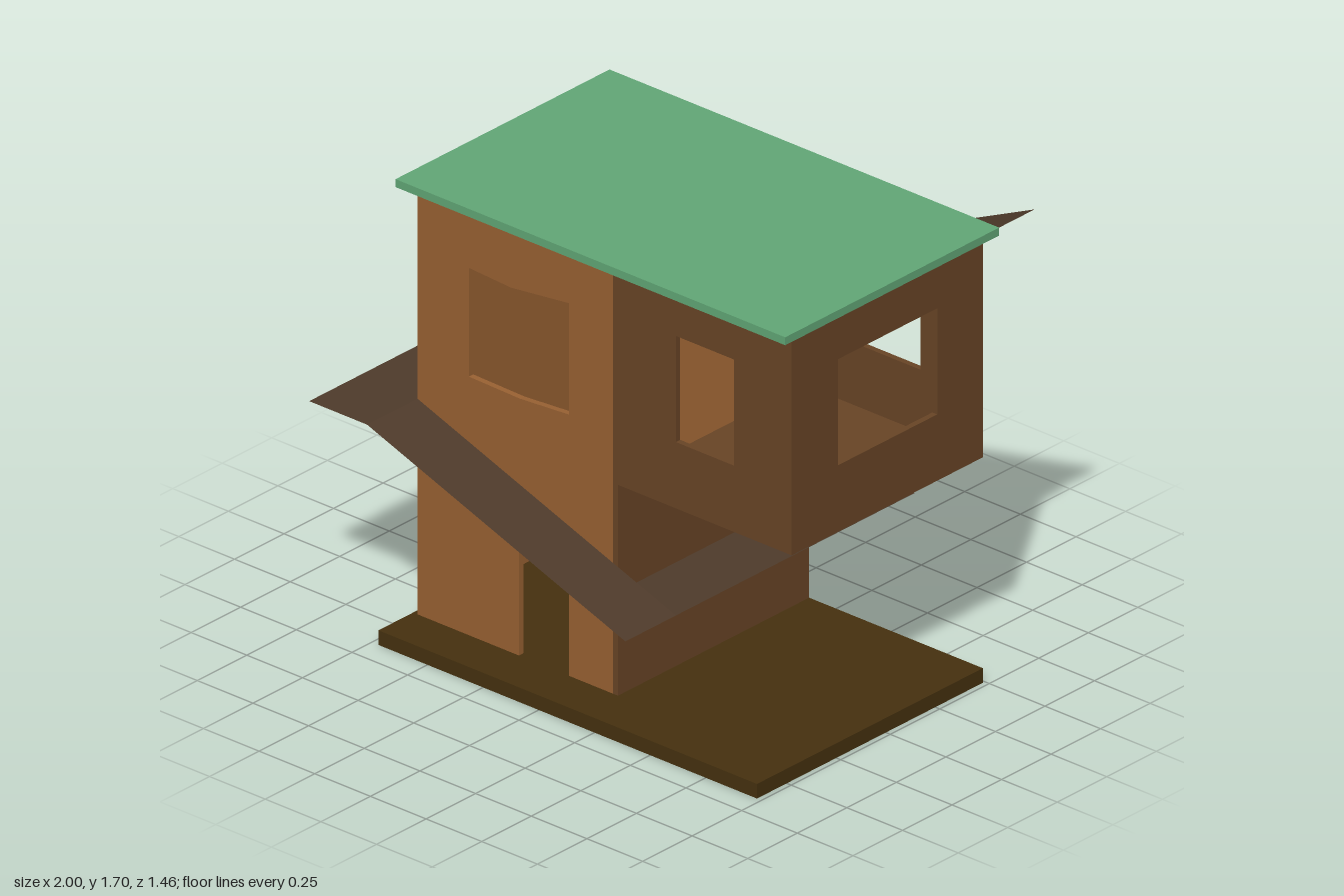
import * as THREE from 'three';

const paint = (color) => new THREE.MeshStandardMaterial({ color, flatShading: true, side: THREE.DoubleSide });

export function createModel() {
  const group = new THREE.Group();
  const orange = paint(0x9a6233), brown = paint(0x694526), deck = paint(0x4f3b2b);
  const olive = paint(0x46310f), green = paint(0x62a877);
  const T = 0.022; // wall thickness

  const add = (name, geometry, material) => {
    const mesh = new THREE.Mesh(geometry, material);
    mesh.name = name;
    group.add(mesh);
    return mesh;
  };

  // Box given by its minimum and maximum corners
  const box = (name, material, [x0, y0, z0], [x1, y1, z1]) =>
    add(name, new THREE.BoxGeometry(x1 - x0, y1 - y0, z1 - z0), material)
      .position.set((x0 + x1) / 2, (y0 + y1) / 2, (z0 + z1) / 2);

  const outline = (points) => points.map(([x, y]) => new THREE.Vector2(x, y));
  const rect = (x0, y0, x1, y1) => [[x0, y0], [x1, y0], [x1, y1], [x0, y1]];

  // Upright wall panel with openings, drawn in x-y and extruded along z
  const panel = (points, holes = []) => {
    const shape = new THREE.Shape(outline(points));
    holes.forEach((h) => shape.holes.push(new THREE.Path(outline(h))));
    return new THREE.ExtrudeGeometry(shape, { depth: T, bevelEnabled: false });
  };

  // Thin walkway following x-y points, spanning z0 to z1
  const walkway = (name, points, z0, z1) => {
    const pos = [];
    for (let i = 0; i < points.length - 1; i++) {
      const [a, b] = [points[i], points[i + 1]];
      pos.push(...a, z0, ...a, z1, ...b, z1, ...a, z0, ...b, z1, ...b, z0);
    }
    const geometry = new THREE.BufferGeometry();
    geometry.setAttribute('position', new THREE.Float32BufferAttribute(pos, 3));
    geometry.computeVertexNormals();
    add(name, geometry, deck);
  };

  const front = 0.475, back = -0.49, floor = 0.055, top = 1.67, upper = 0.85;

  // Base slab and flat roof
  box('base', olive, [-0.72, 0, back], [0.98, floor, 0.65]);
  box('roof', green, [-0.75, top, -0.55], [1, 1.7, 0.53]);

  // Tower front wall with a doorway notch and a slightly crooked window
  add('towerFrontWall', panel(
    [[-0.68, floor], [-0.245, floor], [-0.245, 0.465], [-0.02, 0.43], [-0.02, floor],
      [0.178, floor], [0.178, top], [-0.68, top]],
    [[[-0.47, 1.03], [-0.24, 1.025], [-0.02, 1.04], [-0.02, 1.46], [-0.28, 1.43], [-0.47, 1.44]]],
  ), orange).position.z = front - T;

  // Remaining tower walls; the upper storey is open to the side room
  box('towerBackWall', orange, [-0.68, floor, back], [0.178, top, back + T]);
  box('towerLeftWall', orange, [-0.7, floor, back], [-0.68, top, front]);
  box('towerSideWall', brown, [0.178, floor, back], [0.2, upper, front]);

  // Overhanging side room with windows on three sides
  const roomWall = panel(rect(0.178, upper, 0.98, top), [rect(0.46, 1.1, 0.72, 1.5)]);
  add('roomFrontWall', roomWall, brown).position.z = front - T;
  add('roomBackWall', roomWall, brown).position.z = back;
  const sideWall = add('roomSideWall',
    panel(rect(-front + T, upper, -back - T, top), [rect(-0.24, 1.1, 0.26, 1.5)]), brown);
  sideWall.rotation.y = Math.PI / 2;
  sideWall.position.x = 0.98 - T;
  box('roomFloor', brown, [0.2, upper, back + T], [0.98 - T, upper + 0.015, front - T]);

  // Ramp spiralling down around the tower from roof to ground
  walkway('upperBackRamp', [[1, 1.7], [-0.35, 1.078], [-0.7, 0.957], [-0.96, 0.868]], -0.73, back);
  walkway('leftLanding', [[-0.96, 0.868], [-0.7, 0.868]], back, 0.73);
  walkway('frontRamp', [[-0.7, 0.868], [0.2, 0.54], [0.46, 0.446]], front, 0.73);
  walkway('sideLanding', [[0.2, 0.446], [0.46, 0.446]], -0.73, front);
  walkway('lowerBackRamp', [[0.2, 0.446], [-0.41, 0.232], [-1, 0.025]], -0.73, back);

  return group;
}
